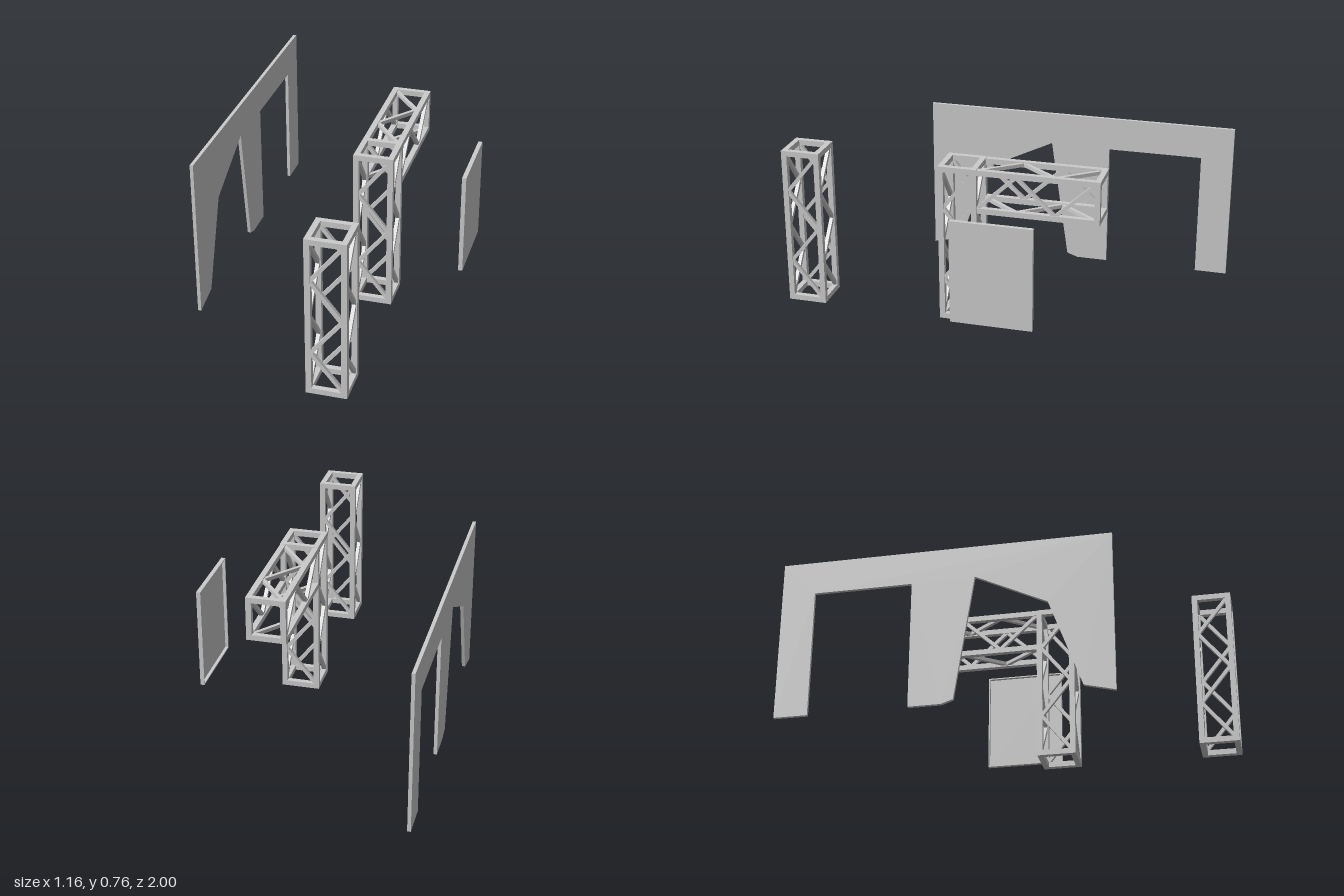
import * as THREE from 'three';

const material = new THREE.MeshStandardMaterial({ color: 0xcccccc, flatShading: true });

function box(parent, name, w, h, d, x, y, z) {
  const mesh = new THREE.Mesh(new THREE.BoxGeometry(w, h, d), material);
  mesh.name = name;
  mesh.position.set(x, y, z);
  parent.add(mesh);
  return mesh;
}

// Square lattice truss standing on its base: chords, end frames, one zigzag per face
function truss(name, w, length, d, bays, baseFrame = true) {
  const group = new THREE.Group();
  group.name = name;
  const t = 0.026, brace = 0.017;

  for (const sx of [-1, 1]) for (const sz of [-1, 1]) {
    box(group, 'chord', t, length, t, sx * (w - t) / 2, length / 2, sz * (d - t) / 2);
  }
  for (const y of baseFrame ? [t / 2, length - t / 2] : [length - t / 2]) {
    for (const s of [-1, 1]) {
      box(group, 'endBar', w - 2 * t, t, t, 0, y, s * (d - t) / 2);
      box(group, 'endBar', t, t, d - 2 * t, s * (w - t) / 2, y, 0);
    }
  }

  const y0 = baseFrame ? t : 0;
  const bay = (length - t - y0) / bays;
  for (let side = 0; side < 4; side++) {
    const span = (side % 2 ? d : w) - 1.6 * t;
    const out = ((side % 2 ? w : d) - t) / 2;
    const face = new THREE.Group();
    face.name = 'latticeFace';
    face.rotation.y = side * Math.PI / 2;
    for (let i = 0; i < bays; i++) {
      const dir = i % 2 ? -1 : 1;
      const bar = box(face, 'brace', brace, Math.hypot(span, bay), brace, 0, y0 + (i + 0.5) * bay, out);
      bar.rotation.z = dir * Math.atan2(span, bay);
    }
    group.add(face);
  }
  return group;
}

export function createModel() {
  const model = new THREE.Group();
  model.name = 'trussStand';

  // Tall side wall with a square doorway and a tapered opening
  const outline = [
    [0.527, 0], [0.527, 0.765], [-1, 0.765], [-1, 0], [-0.845, 0], [-0.845, 0.605],
    [-0.388, 0.605], [-0.388, 0], [-0.238, 0], [-0.185, 0.018], [-0.096, 0.61],
    [0.235, 0.45], [0.387, 0.035],
  ];
  const shape = new THREE.Shape(outline.map(([z, y]) => new THREE.Vector2(-z, y)));
  const wallGeometry = new THREE.ExtrudeGeometry(shape, { depth: 0.016, bevelEnabled: false });
  wallGeometry.rotateY(Math.PI / 2);
  const wall = new THREE.Mesh(wallGeometry, material);
  wall.name = 'sideWall';
  wall.position.x = -0.581;
  model.add(wall);

  // Shallow panel with a thin rim toward the trusses
  const panel = new THREE.Group();
  panel.name = 'displayPanel';
  box(panel, 'panelFace', 0.005, 0.49, 0.38, 0.5765, 0.395, -0.097);
  for (const s of [-1, 1]) {
    box(panel, 'panelRim', 0.015, 0.006, 0.38, 0.5665, 0.395 + s * 0.242, -0.097);
    box(panel, 'panelRim', 0.015, 0.478, 0.006, 0.5665, 0.395, -0.097 + s * 0.187);
  }
  model.add(panel);

  // Free-standing front tower
  const frontTower = truss('frontTower', 0.185, 0.765, 0.185, 4);
  frontTower.position.set(0.181, 0, 0.907);
  model.add(frontTower);

  // Rear tower carrying a horizontal arm
  const rearTower = truss('rearTower', 0.185, 0.765, 0.183, 4);
  rearTower.position.set(0.181, 0, 0.147);
  model.add(rearTower);

  const arm = truss('arm', 0.184, 0.571, 0.21, 3, false);
  arm.rotation.x = -Math.PI / 2;
  arm.position.set(0.18, 0.658, 0.055);
  model.add(arm);

  return model;
}
